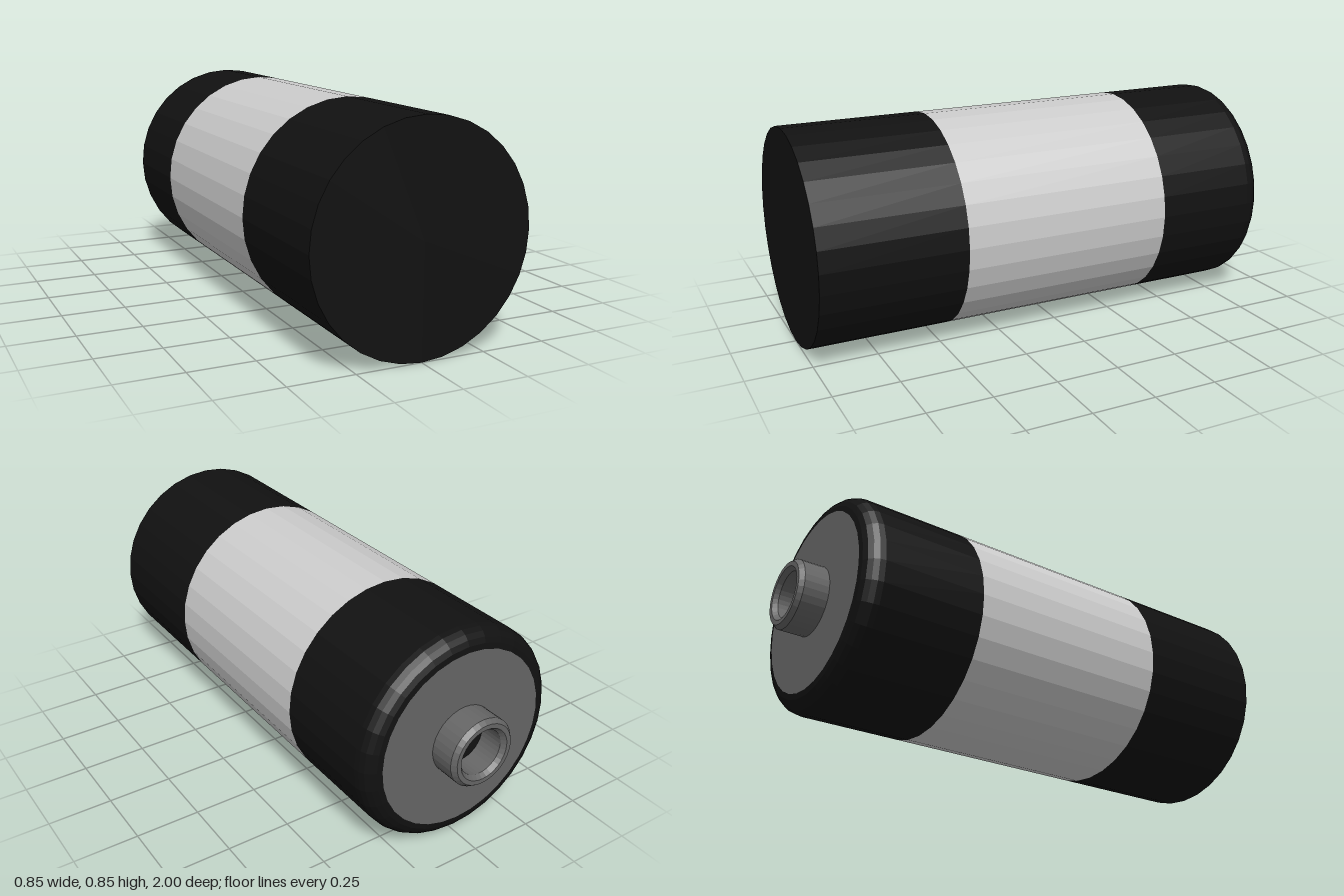
import * as THREE from 'three';

const SIDES = 32;
const R = 0.4225; // body radius

export function createModel() {
  const group = new THREE.Group();
  group.name = 'battery';

  const black = new THREE.MeshStandardMaterial({ color: 0x111111, flatShading: true });
  const grey = new THREE.MeshStandardMaterial({ color: 0xcccccc, flatShading: true });
  const metal = new THREE.MeshStandardMaterial({ color: 0x666666, flatShading: true });

  // Spins a [radius, distance towards the back] profile around the lying axis
  function turned(name, profile, material) {
    const points = profile.map(([r, d]) => new THREE.Vector2(r, d));
    const geometry = new THREE.LatheGeometry(points, SIDES);
    geometry.rotateX(-Math.PI / 2);
    const mesh = new THREE.Mesh(geometry, material);
    mesh.name = name;
    mesh.position.y = R;
    group.add(mesh);
  }

  // Closed front end and its sleeve
  turned('frontSleeve', [[0, -1], [R, -1], [R, -0.44]], black);

  // Light middle band
  turned('middleBand', [[R, -0.44], [R, 0.405]], grey);

  // Back sleeve with a rounded shoulder
  const bevel = 0.07;
  const shoulder = [[R, 0.405]];
  for (let i = 0; i <= 5; i++) {
    const a = (i / 5) * Math.PI / 2;
    shoulder.push([R - bevel + bevel * Math.cos(a), 0.885 - bevel + bevel * Math.sin(a)]);
  }
  turned('backSleeve', shoulder, black);

  // Metal end plate around the terminal
  turned('endPlate', [[R - bevel, 0.885], [0.09, 0.885]], metal);

  // Hollow terminal with bevelled rim
  turned('terminal', [
    [0.136, 0.885], [0.136, 0.982], [0.122, 1], [0.104, 1], [0.09, 0.982], [0.09, 0.885],
  ], metal);

  // Dark bottom of the terminal hole
  turned('terminalFloor', [[0.09, 0.885], [0, 0.885]], black);

  return group;
}
